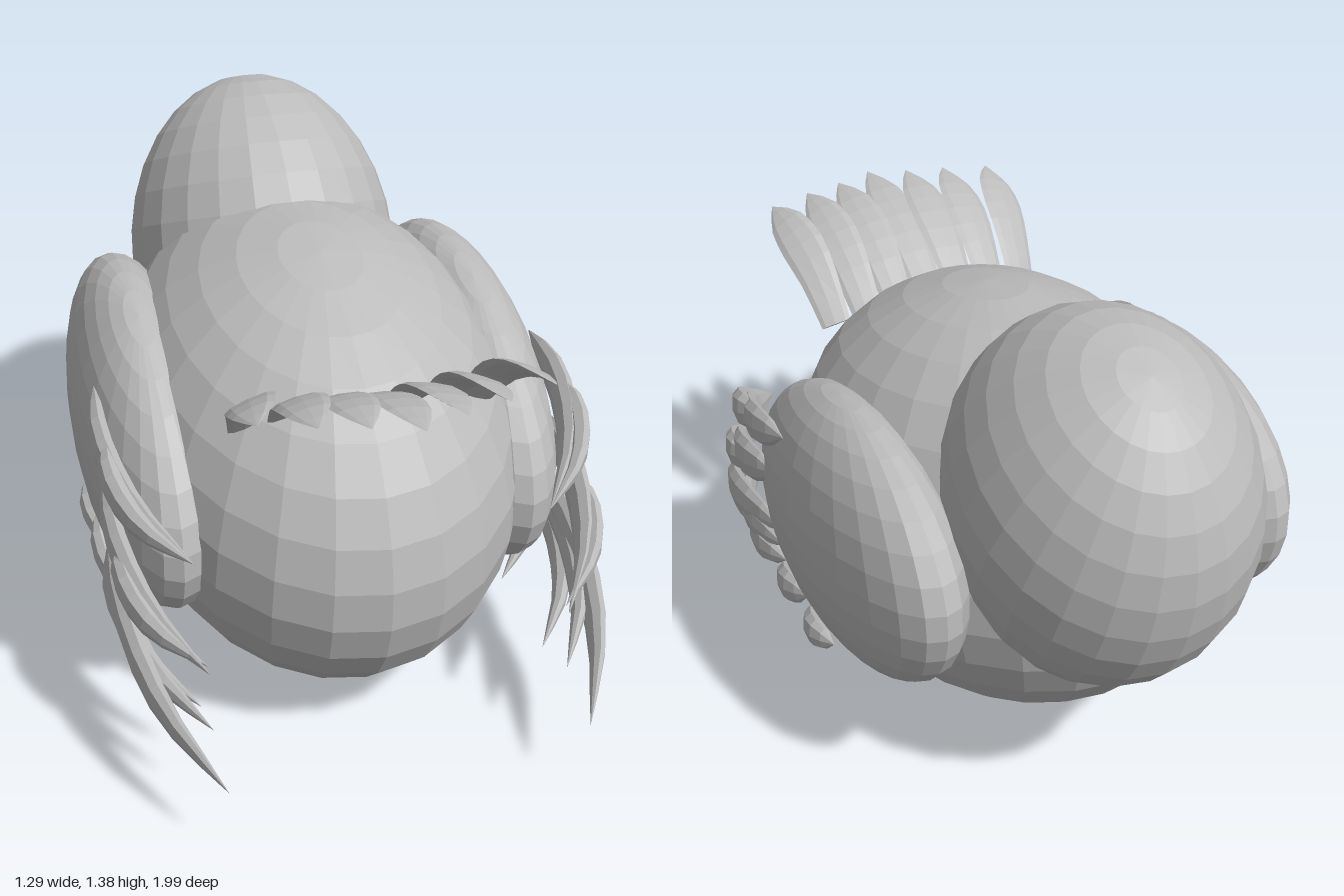
import * as THREE from 'three';

const grey = new THREE.MeshStandardMaterial({ color: 0xbcbcbc, flatShading: true });
grey.name = 'plainGrey';

// Tilted ellipsoid
function ellipsoid(name, pos, radii, tiltX) {
  const mesh = new THREE.Mesh(new THREE.SphereGeometry(1, 24, 16), grey);
  mesh.name = name;
  mesh.position.set(...pos);
  mesh.scale.set(...radii);
  mesh.rotation.x = THREE.MathUtils.degToRad(tiltX);
  return mesh;
}

// Feather: flat oval sections swept along a curve, scaled by a width profile
function feather(name, points, width, thick, profile, across) {
  const curve = new THREE.CatmullRomCurve3(points);
  const sides = 8, rows = profile.length, pos = [], index = [];
  for (let i = 0; i < rows; i++) {
    const t = i / (rows - 1);
    const c = curve.getPoint(t), T = curve.getTangent(t);
    const S = across(T);
    S.addScaledVector(T, -S.dot(T)).normalize();
    const N = T.clone().cross(S);
    for (let j = 0; j < sides; j++) {
      const a = (j / sides) * Math.PI * 2;
      const p = c.clone()
        .addScaledVector(S, Math.cos(a) * width * profile[i])
        .addScaledVector(N, Math.sin(a) * thick * profile[i]);
      pos.push(p.x, p.y, p.z);
      if (i < rows - 1) {
        const k = (j + 1) % sides;
        const p0 = i * sides + j, p1 = i * sides + k;
        index.push(p0, p1, p0 + sides, p1, p1 + sides, p0 + sides);
      }
    }
  }
  // Close the root
  for (let j = 1; j < sides - 1; j++) index.push(0, j + 1, j);
  const geo = new THREE.BufferGeometry();
  geo.setAttribute('position', new THREE.Float32BufferAttribute(pos, 3));
  geo.setIndex(index);
  geo.computeVertexNormals();
  const mesh = new THREE.Mesh(geo, grey);
  mesh.name = name;
  return mesh;
}

const WING_PROFILE = [0.05, 0.65, 0.92, 1, 1, 0.9, 0.68, 0.38, 0];
const TAIL_PROFILE = [0.7, 0.8, 0.9, 1, 1.05, 1, 0.85, 0.5, 0];

// Root z, y; tip z, y; half width
const WING_FEATHERS = [
  [0.11, 0.84, 0.66, 0.635, 0.06],
  [0.30, 0.80, 0.66, 0.635, 0.055],
  [0.22, 0.66, 0.82, 0.425, 0.065],
  [0.42, 0.58, 0.80, 0.435, 0.055],
  [0.22, 0.48, 1.0, 0.215, 0.065],
  [0.20, 0.43, 0.84, 0.27, 0.055],
  [0.18, 0.39, 0.685, 0.215, 0.05],
  [0.0, 0.39, 0.38, 0.215, 0.05],
  [-0.2, 0.37, 0.14, 0.235, 0.045],
];

function wing(side) {
  const g = new THREE.Group();
  g.name = side > 0 ? 'leftWing' : 'rightWing';
  g.add(ellipsoid('wingBase', [side * 0.46, 0.62, -0.05], [0.185, 0.373, 0.607], 11.5));
  for (const [rz, ry, tz, ty, w] of WING_FEATHERS) {
    // The path hugs the wing, then curls inward at the tip
    const at = (t, x, lift) => new THREE.Vector3(
      side * x, ry + (ty - ry) * t + lift, rz + (tz - rz) * t);
    const path = [at(0, 0.6, 0), at(0.35, 0.612, 0.012), at(0.7, 0.565, 0.008), at(1, 0.455, 0)];
    g.add(feather('wingFeather', path, w, 0.028, WING_PROFILE,
      (T) => new THREE.Vector3(1, 0, 0).cross(T)));
  }
  return g;
}

// Upturned fan of seven feathers
function tail() {
  const g = new THREE.Group();
  g.name = 'tail';
  const tipX = [0, 0.11, 0.22, 0.345], tipZ = [0.99, 0.95, 0.92, 0.875];
  for (let i = -3; i <= 3; i++) {
    const k = Math.abs(i), s = Math.sign(i);
    const len = tipZ[k] - 0.51, rootX = s * k * 0.098, tx = s * tipX[k];
    const at = (t, y) => new THREE.Vector3(rootX + (tx - rootX) * t, y, 0.51 + len * t);
    const path = [at(0, 0.925 - k * 0.006), at(0.25, 1.015), at(0.5, 1.08), at(0.75, 1.115), at(1, 1.13)];
    g.add(feather('tailFeather', path, 0.06, 0.01, TAIL_PROFILE,
      () => new THREE.Vector3(1, -0.16 * i - 0.1, 0)));
  }
  return g;
}

export function createModel() {
  const model = new THREE.Group();
  model.name = 'bird';
  model.add(ellipsoid('body', [0, 0.59, 0.025], [0.55, 0.582, 0.786], 10.5));
  model.add(ellipsoid('head', [0, 0.872, -0.52], [0.384, 0.514, 0.465], -26));
  model.add(wing(1), wing(-1), tail());
  return model;
}
